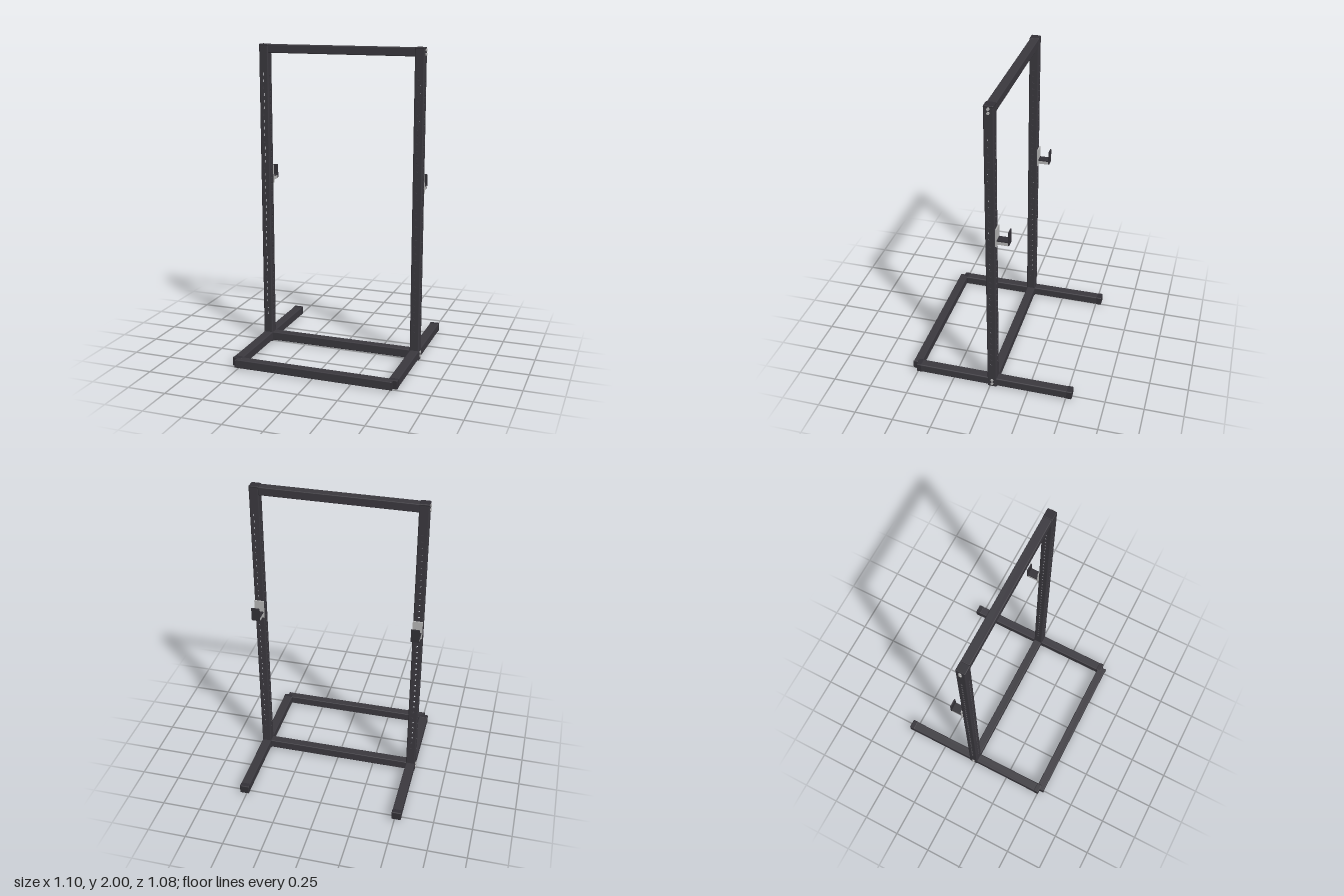
import * as THREE from 'three';
import { RoundedBoxGeometry } from 'three/addons/geometries/RoundedBoxGeometry.js';

const paint = new THREE.MeshStandardMaterial({ color: 0x3a383e });
paint.name = 'charcoal paint';
const plastic = new THREE.MeshStandardMaterial({ color: 0x323036 });
plastic.name = 'dark plastic';
const steel = new THREE.MeshStandardMaterial({ color: 0xb4b4b4 });
steel.name = 'bare steel';

const X = 0.512, Z = -0.014; // upright centre
const W = 0.061, R = 0.007, WALL = 0.005; // tube width, corner radius, wall
const HOLES = 38, PITCH = 0.0435, HOLE_R = 0.0095;

// Box given by its limits on each axis, with optional rounded edges
function block(parent, name, mat, [x0, x1], [y0, y1], [z0, z1], r = 0) {
  const s = [x1 - x0, y1 - y0, z1 - z0];
  const geo = r ? new RoundedBoxGeometry(...s, 2, r) : new THREE.BoxGeometry(...s);
  const mesh = new THREE.Mesh(geo, mat);
  mesh.name = name;
  mesh.position.set((x0 + x1) / 2, (y0 + y1) / 2, (z0 + z1) / 2);
  parent.add(mesh);
  return mesh;
}

// Flat tube wall with a column of punched holes
function wallGeometry(firstHole) {
  const h = W / 2 - R;
  const shape = new THREE.Shape([[-h, 0], [h, 0], [h, 1.99], [-h, 1.99]].map(p => new THREE.Vector2(...p)));
  for (let i = 0; i < HOLES; i++) {
    const hole = new THREE.Path();
    hole.absarc(0, firstHole + i * PITCH, HOLE_R, 0, Math.PI * 2, true);
    shape.holes.push(hole);
  }
  const geo = new THREE.ExtrudeGeometry(shape, { depth: WALL, bevelEnabled: false, curveSegments: 6 });
  return geo.translate(0, 0, W / 2 - WALL);
}

// Perforated square tube: four walls joined by rounded corners
function upright(sign) {
  const g = new THREE.Group();
  g.name = 'upright';
  const frontWall = wallGeometry(0.2), sideWall = wallGeometry(0.18);
  const corner = new THREE.CylinderGeometry(R, R, 1.99, 4, 1, false, 0, Math.PI / 2);
  corner.translate(W / 2 - R, 0.995, W / 2 - R);
  for (let i = 0; i < 4; i++) {
    const wall = new THREE.Mesh(i % 2 ? sideWall : frontWall, paint);
    wall.name = 'perforatedWall';
    const edge = new THREE.Mesh(corner, paint);
    edge.name = 'tubeCorner';
    wall.rotation.y = edge.rotation.y = i * Math.PI / 2;
    g.add(wall, edge);
  }
  const h = W / 2;
  block(g, 'topCap', plastic, [-h, h], [1.984, 2], [-h, h], 0.005);
  block(g, 'footCap', plastic, [-h + 0.002, h - 0.002], [0, 0.01], [-h + 0.002, h - 0.002]);
  g.position.set(sign * X, 0, Z);
  return g;
}

// Bar holder: steel back plate and shelf, dark liner and lip
function barHolder(sign) {
  const g = new THREE.Group();
  g.name = 'barHolder';
  block(g, 'backPlate', steel, [-0.031, 0.031], [1.092, 1.212], [-0.054, -0.0455]);
  block(g, 'shelf', steel, [-0.026, 0.026], [1.108, 1.13], [-0.124, -0.054]);
  block(g, 'shelfLiner', plastic, [-0.027, 0.027], [1.13, 1.137], [-0.124, -0.054]);
  block(g, 'lip', plastic, [-0.027, 0.027], [1.112, 1.2], [-0.13, -0.122]);
  g.position.x = sign * X;
  return g;
}

export function createModel() {
  const model = new THREE.Group();
  model.name = 'squatStand';
  const railY = [0.008, 0.065], beamZ = [-0.044, 0.012];
  const inner = X - W / 2 + 0.003;

  // Cross beams
  block(model, 'topBeam', paint, [-inner, inner], [1.944, 1.997], beamZ, 0.005);
  block(model, 'bottomBeam', paint, [-inner, inner], railY, beamZ, 0.005);
  block(model, 'frontBeam', paint, [-X, X], [0.009, 0.064], [0.479, 0.534], 0.005);

  const boltGeo = new THREE.CylinderGeometry(0.0095, 0.0095, 0.012, 6).rotateZ(Math.PI / 2);
  for (const s of [-1, 1]) {
    model.add(upright(s), barHolder(s));

    // Floor rail on each side with end caps
    const xs = (half) => [s * X - half, s * X + half];
    block(model, 'sideRail', paint, xs(0.030), railY, [-0.535, 0.502], R);
    block(model, 'rearRailCap', plastic, xs(0.031), [0.007, 0.066], [-0.54, -0.503], 0.006);
    block(model, 'frontRailCap', plastic, xs(0.031), [0.007, 0.066], [0.47, 0.506], 0.006);
    block(model, 'frontBeamCap', plastic, [s * X - 0.004, s * X + 0.004], [0.01, 0.063], [0.481, 0.537], 0.003);

    // Bolts on the outer faces
    for (const y of [0.022, 0.049, 1.957, 1.982]) {
      const bolt = new THREE.Mesh(boltGeo, steel);
      bolt.name = 'bolt';
      bolt.position.set(s * (X + W / 2 + 0.001), y, Z);
      model.add(bolt);
    }
  }
  return model;
}
